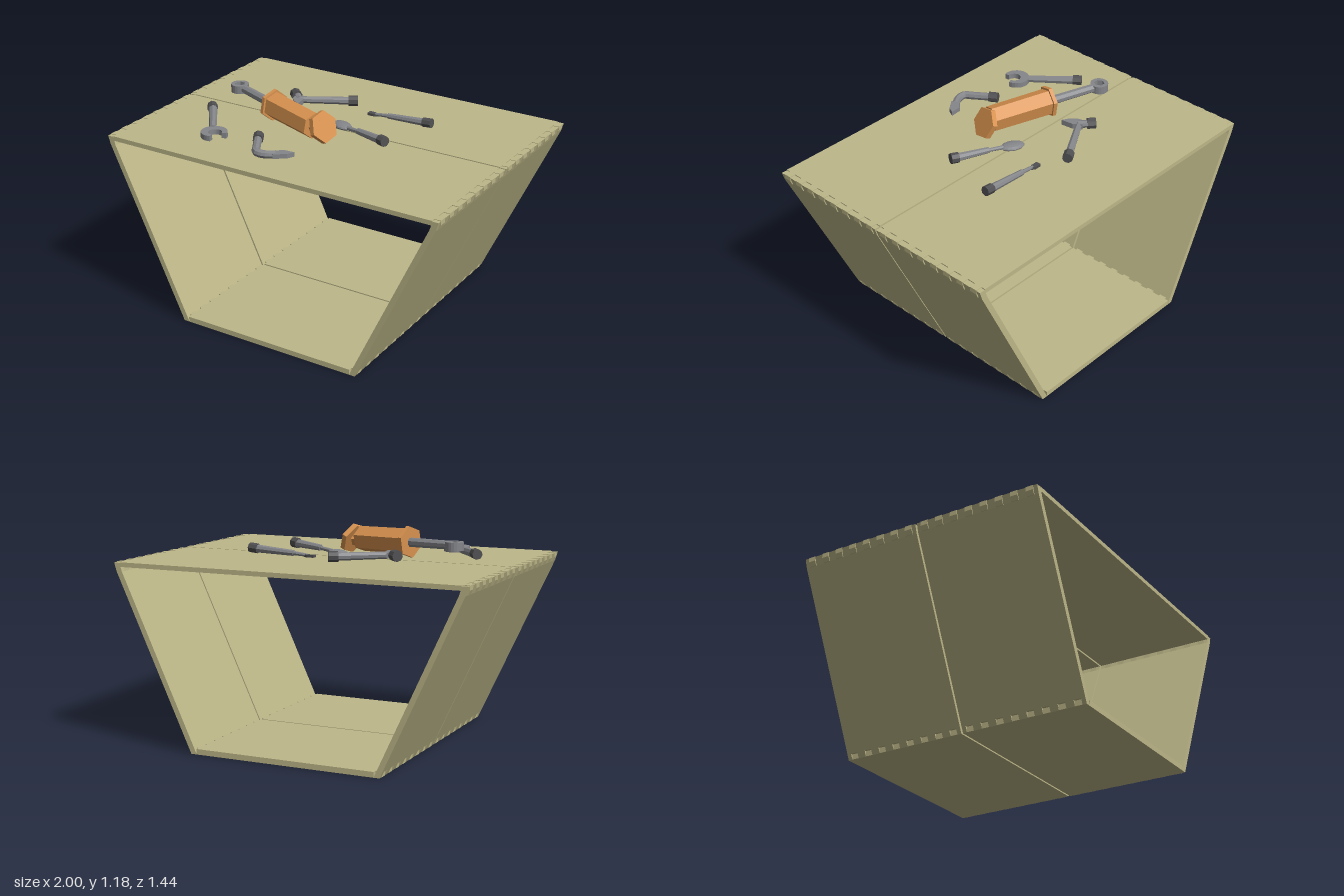
import * as THREE from 'three';

const mat = (color) => new THREE.MeshStandardMaterial({ color, flatShading: true, side: THREE.DoubleSide });
const V = (p) => new THREE.Vector3(...p);

export function createModel() {
  const root = new THREE.Group();
  const wood = mat(0xbdb788), steel = mat(0x85868a), dark = mat(0x505052), orange = mat(0xd8924f);

  const group = (name, ...parts) => {
    const g = new THREE.Group();
    g.name = name;
    g.add(...parts);
    root.add(g);
    return g;
  };
  const mesh = (name, geo, material) => {
    const m = new THREE.Mesh(geo, material);
    m.name = name;
    return m;
  };
  // Straight faceted rod from a to b
  const rod = (name, a, b, r1, r2, material, sides = 8) => {
    const d = V(b).sub(V(a));
    const m = mesh(name, new THREE.CylinderGeometry(r2, r1, d.length(), sides), material);
    m.position.copy(V(a)).addScaledVector(d, 0.5);
    m.quaternion.setFromUnitVectors(new THREE.Vector3(0, 1, 0), d.normalize());
    return m;
  };
  // Profile in x-y, extruded from z0 to z1
  const prism = (name, pts, z0, z1, material) => {
    const s = new THREE.Shape(pts.map((p) => new THREE.Vector2(...p)));
    const g = new THREE.ExtrudeGeometry(s, { depth: z1 - z0, bevelEnabled: false });
    return mesh(name, g.translate(0, 0, z0), material);
  };
  // Shape drawn in x and -z, lying flat at height y
  const slab = (name, shape, y, depth, material) => {
    const g = new THREE.ExtrudeGeometry(shape, { depth, bevelEnabled: false, curveSegments: 10 });
    return mesh(name, g.rotateX(-Math.PI / 2).translate(0, y, 0), material);
  };
  const outline = (pts) => new THREE.Shape(pts.map(([x, z]) => new THREE.Vector2(x, -z)));
  const rect = (x0, x1, y0, y1) => [[x0, y0], [x1, y0], [x1, y1], [x0, y1]];

  // Bench of four boards, each in two halves, joined with fingers
  const outer = (y) => 0.545 + 0.464 * Math.min(y, 0.981);
  const slant = (y0, y1) => [[outer(y0) - 0.033, y0], [outer(y0), y0], [outer(y1), y1], [outer(y1) - 0.033, y1]];
  const count = 8, start = 0.005, end = 0.72, pitch = (end - start) / count, tooth = 0.042;
  for (const half of [1, -1]) {
    const span = (a, b) => (half > 0 ? [a, b] : [-b, -a]);
    const side = half > 0 ? 'front' : 'back';
    group(side + 'TopBoard', prism('topPanel', rect(-0.965, 0.965, 0.975, 1), ...span(start, end), wood));
    group(side + 'BottomBoard', prism('bottomPanel', rect(-0.513, 0.513, 0, 0.03), ...span(start, end), wood));
    for (const dir of [1, -1]) {
      const flip = (pts) => pts.map(([x, y]) => [x * dir, y]);
      const g = group(side + (dir > 0 ? 'LeftSide' : 'RightSide'),
        prism('sidePanel', flip(slant(0.03, 0.95)), ...span(start, end), wood));
      let z = start;
      for (let i = 0; i <= count; i++) {
        const t0 = start + (i + 0.5) * pitch - tooth / 2;
        const next = i < count ? t0 : end;
        // side panel tabs between the board fingers
        g.add(prism('upperTab', flip(slant(0.95, 0.997)), ...span(z, next), wood));
        g.add(prism('lowerTab', flip(slant(0, 0.03)), ...span(z, next), wood));
        if (i === count) break;
        const finger = [[0.965, 1], [0.955, 0.95], [0.99, 0.95], [1, 0.975], [1, 1]];
        g.add(prism('topFinger', flip(finger), ...span(t0, t0 + tooth), wood));
        g.add(prism('bottomFinger', flip(rect(0.513, 0.547, 0, 0.03)), ...span(t0, t0 + tooth), wood));
        z = t0 + tooth;
      }
    }
  }

  // Hammer
  const claw = outline([[-0.385, -0.165], [-0.345, -0.185], [-0.315, -0.14], [-0.305, -0.07], [-0.35, -0.095], [-0.375, -0.125]]);
  group('hammer',
    rod('handle', [-0.35, 1.045, -0.155], [-0.11, 1.04, -0.297], 0.019, 0.022, steel),
    rod('handleEnd', [-0.115, 1.04, -0.294], [-0.07, 1.04, -0.32], 0.029, 0.029, dark),
    rod('neck', [-0.35, 1.045, -0.15], [-0.39, 1.05, -0.195], 0.022, 0.02, steel),
    rod('face', [-0.385, 1.05, -0.185], [-0.42, 1.05, -0.215], 0.031, 0.031, dark),
    slab('claw', claw, 1.03, 0.03, steel));

  // Screwdriver
  group('screwdriver',
    rod('handle', [0.18, 1.035, -0.228], [0.41, 1.048, -0.224], 0.016, 0.022, steel),
    rod('handleEnd', [0.4, 1.048, -0.224], [0.45, 1.052, -0.223], 0.027, 0.027, dark),
    rod('shaft', [0.1, 1.028, -0.228], [0.19, 1.036, -0.228], 0.009, 0.012, steel),
    slab('tip', outline([[0.055, -0.245], [0.095, -0.245], [0.12, -0.228], [0.095, -0.215], [0.055, -0.215]]), 1.018, 0.014, dark));

  // Spoon
  const bowl = mesh('bowl', new THREE.SphereGeometry(1, 14, 8), steel);
  bowl.scale.set(0.068, 0.017, 0.043);
  bowl.rotation.y = -0.45;
  bowl.position.set(0.02, 1.022, -0.01);
  group('spoon', bowl,
    rod('neck', [0.07, 1.025, 0.015], [0.16, 1.035, 0.045], 0.012, 0.01, steel),
    rod('handle', [0.15, 1.035, 0.042], [0.33, 1.045, 0.106], 0.017, 0.023, steel),
    rod('handleEnd', [0.318, 1.045, 0.1], [0.358, 1.048, 0.117], 0.029, 0.029, dark));

  // Ring spanner in a hexagonal grip
  const ring = new THREE.Shape().absarc(-0.665, 0.03, 0.05, 0, Math.PI * 2);
  const hole = new THREE.Path();
  for (let i = 0; i < 6; i++) {
    const a = -i * Math.PI / 3;
    hole[i ? 'lineTo' : 'moveTo'](-0.665 + 0.029 * Math.cos(a), 0.03 + 0.029 * Math.sin(a));
  }
  hole.closePath();
  ring.holes.push(hole);
  group('ringSpanner',
    slab('ring', ring, 1.073, 0.045, steel),
    rod('bar', [-0.625, 1.097, -0.017], [-0.34, 1.088, 0.085], 0.024, 0.026, steel),
    rod('grip', [-0.36, 1.09, 0.08], [-0.03, 1.08, 0.195], 0.075, 0.072, orange, 6),
    rod('rearFlange', [-0.375, 1.09, 0.075], [-0.355, 1.09, 0.082], 0.088, 0.088, orange, 6),
    rod('gripNeck', [-0.04, 1.08, 0.19], [0.015, 1.083, 0.187], 0.045, 0.045, orange, 6),
    rod('endFlange', [0.008, 1.075, 0.183], [0.034, 1.087, 0.19], 0.088, 0.088, orange, 6));

  // Open wrench
  const jaw = new THREE.Shape();
  const a0 = 0.12, a1 = 5.0;
  jaw.absarc(-0.5, -0.445, 0.072, a0, a1, false);
  jaw.absarc(-0.488, -0.452, 0.037, a1 - 0.1, a0 + 0.1, true);
  jaw.closePath();
  group('openWrench',
    slab('jaw', jaw, 1.005, 0.03, steel),
    rod('handle', [-0.7, 1.033, 0.18], [-0.545, 1.022, 0.395], 0.024, 0.02, steel),
    rod('handleEnd', [-0.728, 1.033, 0.15], [-0.696, 1.033, 0.19], 0.029, 0.029, dark));

  // Bent hook tool
  const bend = new THREE.CatmullRomCurve3([[-0.25, 1.033, 0.395], [-0.195, 1.027, 0.49], [-0.165, 1.025, 0.535],
    [-0.12, 1.022, 0.535], [-0.065, 1.022, 0.505]].map(V));
  const tip = outline([[-0.095, 0.5], [-0.05, 0.455], [0.015, 0.45], [-0.005, 0.49], [-0.065, 0.535]]);
  group('bentTool',
    mesh('shaft', new THREE.TubeGeometry(bend, 16, 0.022, 8), steel),
    slab('tip', tip, 1.008, 0.025, steel),
    rod('handleEnd', [-0.265, 1.035, 0.367], [-0.24, 1.033, 0.412], 0.029, 0.029, dark));

  return root;
}
